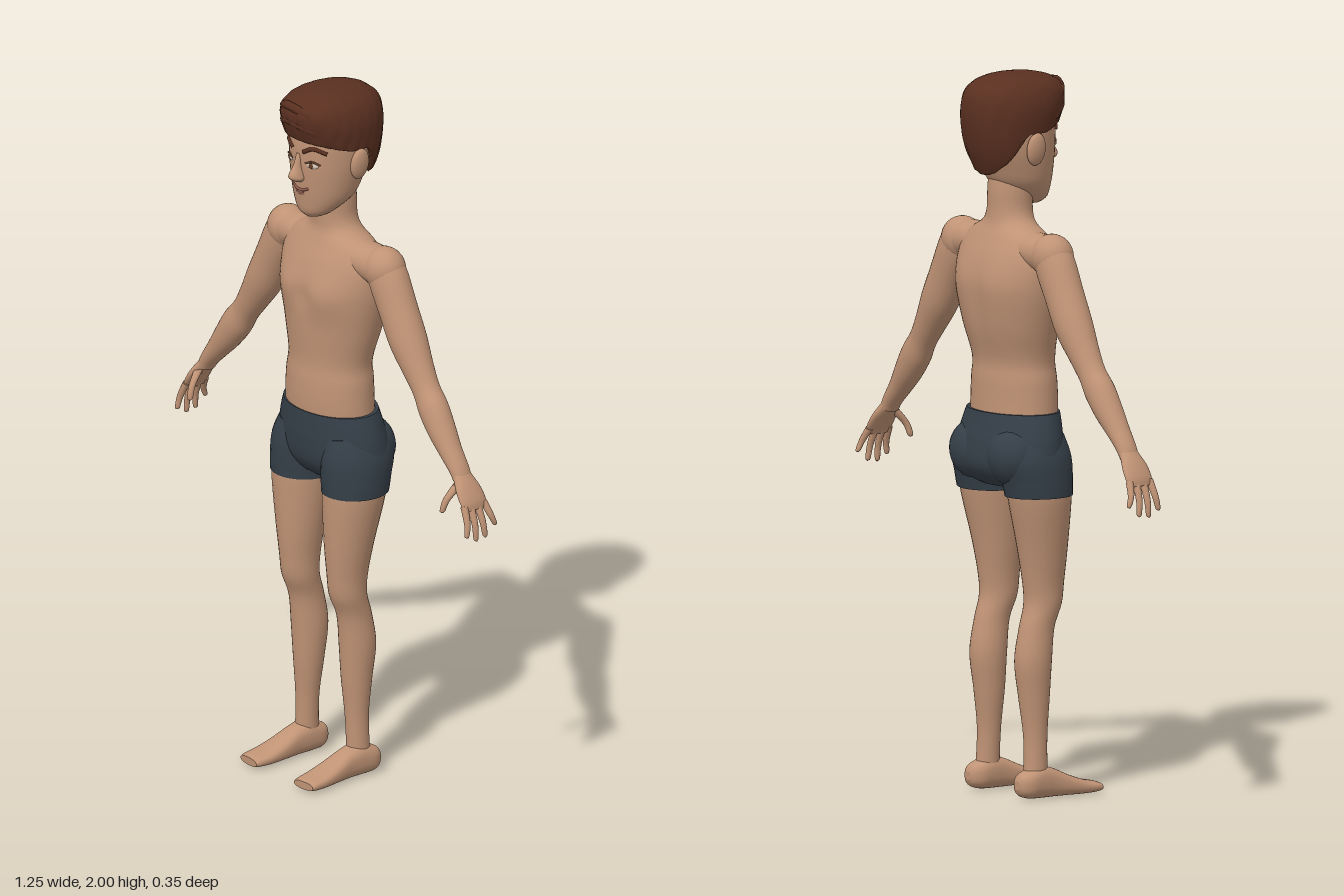
import * as THREE from 'three';

const mat = (name, color) => {
  const m = new THREE.MeshStandardMaterial({ color });
  m.name = name;
  return m;
};

// Smooth surface through elliptical sections [x, y, z, rx, rz], ordered along y
function loft(rows, { seg = 32, sub = 5, power = 1, tweak } = {}) {
  const at = (i, k) => rows[Math.max(0, Math.min(rows.length - 1, i))][k];
  const sample = (t) => {
    const i = Math.min(Math.floor(t), rows.length - 2), f = t - i;
    return [0, 1, 2, 3, 4].map((k) => {
      const a = at(i - 1, k), b = at(i, k), c = at(i + 1, k), d = at(i + 2, k);
      return b + 0.5 * f * (c - a + f * (2 * a - 5 * b + 4 * c - d + f * (3 * (b - c) + d - a)));
    });
  };
  const pos = [], idx = [], n = (rows.length - 1) * sub;
  const ring = (t) => {
    const [x, y, z, rx, rz] = sample(t);
    const a = sample(Math.max(0, t - 0.1)), b = sample(Math.min(rows.length - 1, t + 0.1));
    const d = new THREE.Vector2(b[0] - a[0], b[1] - a[1]).normalize();
    for (let j = 0; j < seg; j++) {
      const w = (j / seg) * Math.PI * 2, c = Math.cos(w), s = Math.sin(w);
      const p = Math.sign(c) * Math.abs(c) ** power * rx, q = Math.sign(s) * Math.abs(s) ** power * rz;
      const v = new THREE.Vector3(x + d.y * p, y - d.x * p, z + q);
      if (tweak) tweak(v);
      pos.push(v.x, v.y, v.z);
    }
  };
  for (let i = 0; i <= n; i++) ring(i / sub);
  for (let i = 0; i < n; i++) for (let j = 0; j < seg; j++) {
    const k = (j + 1) % seg, a = i * seg + j, b = i * seg + k;
    idx.push(a, a + seg, b, b, a + seg, b + seg);
  }
  // separate end caps keep the rims crisp
  for (const end of [0, rows.length - 1]) {
    const base = pos.length / 3;
    ring(end);
    const c = new THREE.Vector3(...rows[end].slice(0, 3));
    if (tweak) tweak(c);
    pos.push(c.x, c.y, c.z);
    for (let j = 0; j < seg; j++) {
      const a = base + j, b = base + (j + 1) % seg;
      idx.push(base + seg, ...(end ? [b, a] : [a, b]));
    }
  }
  const g = new THREE.BufferGeometry();
  g.setAttribute('position', new THREE.Float32BufferAttribute(pos, 3));
  g.setIndex(idx);
  g.computeVertexNormals();
  return g;
}

export function createModel() {
  const root = new THREE.Group();
  const skin = mat('skin', 0xc09375), cloth = mat('shorts cloth', 0x353f48), hair = mat('hair', 0x5a3020);
  const white = mat('eye white', 0xd8c8bc), iris = mat('iris', 0x5f3d26), lip = mat('lip', 0x8f5a4c);

  const add = (name, geo, m, parent = root) => {
    const mesh = new THREE.Mesh(geo, m);
    mesh.name = name;
    parent.add(mesh);
    return mesh;
  };
  const blob = (name, m, p, s) => {
    const b = add(name, new THREE.SphereGeometry(1, 24, 16), m);
    b.position.set(...p);
    b.scale.set(...s);
    return b;
  };
  const tube = (name, pts, r, m) => add(name, new THREE.TubeGeometry(
    new THREE.CatmullRomCurve3(pts.map((p) => new THREE.Vector3(...p))), 16, r, 8), m);
  const bump = (x, y, r) => Math.exp(-(x * x + y * y) / (r * r));

  // Torso and neck, with chest muscles and a groove down the spine
  add('torso', loft([
    [0, 1.0, -0.025, 0.15, 0.1], [0, 1.08, -0.02, 0.147, 0.102], [0, 1.15, -0.02, 0.143, 0.101],
    [0, 1.21, -0.022, 0.137, 0.098], [0, 1.3, -0.032, 0.158, 0.112], [0, 1.38, -0.037, 0.176, 0.117],
    [0, 1.44, -0.038, 0.184, 0.115], [0, 1.5, -0.038, 0.182, 0.1], [0, 1.55, -0.038, 0.155, 0.078],
    [0, 1.585, -0.037, 0.09, 0.064], [0, 1.62, -0.035, 0.067, 0.061], [0, 1.68, -0.033, 0.064, 0.062],
    [0, 1.74, -0.03, 0.06, 0.06],
  ], {
    seg: 48, tweak: (v) => {
      const x = Math.abs(v.x);
      if (v.z > 0) v.z += 0.014 * bump(x - 0.08, v.y - 1.41, 0.06) - 0.005 * bump(x, v.y - 1.4, 0.03);
      if (v.z < -0.08) v.z += 0.008 * bump(x, (v.y - 1.35) * 0.25, 0.03) - 0.006 * bump(x - 0.09, v.y - 1.42, 0.07);
    },
  }), skin);

  // Shorts: hips, seat and legs
  add('shortsHips', loft([
    [0, 0.86, -0.035, 0.11, 0.06], [0, 0.88, -0.038, 0.165, 0.088], [0, 0.92, -0.038, 0.192, 0.113],
    [0, 0.98, -0.033, 0.187, 0.116], [0, 1.03, -0.027, 0.173, 0.111], [0, 1.066, -0.023, 0.158, 0.107],
  ], { seg: 48 }), cloth);

  // Head and nose
  add('head', loft([
    [0, 1.632, 0.032, 0.025, 0.03], [0, 1.65, 0.03, 0.054, 0.048], [0, 1.69, 0.002, 0.085, 0.083],
    [0, 1.74, -0.01, 0.1, 0.1], [0, 1.8, -0.02, 0.11, 0.114], [0, 1.87, -0.025, 0.112, 0.118],
    [0, 1.93, -0.03, 0.095, 0.105], [0, 1.965, -0.03, 0.05, 0.06],
  ], { seg: 40 }), skin);
  add('nose', loft([
    [0, 1.742, 0.088, 0.01, 0.012], [0, 1.752, 0.094, 0.02, 0.026], [0, 1.765, 0.096, 0.018, 0.029],
    [0, 1.79, 0.092, 0.011, 0.018], [0, 1.825, 0.085, 0.009, 0.012],
  ], { seg: 20 }), skin);
  tube('mouth', [[-0.032, 1.727, 0.082], [-0.015, 1.719, 0.088], [0, 1.718, 0.09], [0.015, 1.719, 0.088], [0.032, 1.727, 0.082]], 0.004, lip);
  tube('lowerLip', [[-0.016, 1.708, 0.083], [0, 1.705, 0.086], [0.016, 1.708, 0.083]], 0.004, lip);

  // Hair cap: the lower edge follows a hairline that drops towards the nape
  const hairline = (z) => z > -0.06 ? 1.84 + Math.max(0, z) * 0.28 : Math.max(1.705, 1.84 + (z + 0.06) * 1.85);
  add('hair', loft([
    [0, 1.7, -0.07, 0.055, 0.045], [0, 1.75, -0.055, 0.092, 0.086], [0, 1.8, -0.042, 0.113, 0.118],
    [0, 1.86, -0.035, 0.122, 0.137], [0, 1.91, -0.027, 0.123, 0.147], [0, 1.95, -0.02, 0.111, 0.145],
    [0, 1.977, -0.018, 0.088, 0.118], [0, 1.993, -0.02, 0.05, 0.07], [0, 1.998, -0.02, 0.01, 0.015],
  ], {
    seg: 64, sub: 8, power: 0.94, tweak: (v) => {
      const wave = 1 + 0.012 * Math.sin(v.z * 170 + v.x * 35 + v.y * 40);
      v.x *= wave;
      v.z = (v.z + 0.03) * (1 + 0.012 * Math.sin(v.x * 150 + v.y * 30)) - 0.03;
      v.y = Math.max(v.y, hairline(v.z));
    },
  }), hair);
  // Swept fringe locks
  for (let i = 0; i < 3; i++) {
    const h = i * 0.021;
    tube('fringeLock', [[-0.1, 1.875 + h, 0.035], [-0.065, 1.905 + h, 0.088], [-0.01, 1.922 + h, 0.112],
      [0.045, 1.91 + h, 0.1], [0.088, 1.88 + h, 0.05]], 0.013, hair);
  }

  for (const s of [1, -1]) {
    const side = s > 0 ? 'left' : 'right';
    const limb = (name, rows, m, opt) => add(side + name, loft(rows.map(([x, ...r]) => [x * s, ...r]), opt), m);

    // Face details
    blob(side + 'Ear', skin, [s * 0.114, 1.797, -0.03], [0.016, 0.046, 0.03]).rotation.z = -s * 0.12;
    blob(side + 'EyeWhite', white, [s * 0.046, 1.798, 0.081], [0.019, 0.009, 0.006]).rotation.y = s * 0.4;
    blob(side + 'Iris', iris, [s * 0.045, 1.798, 0.085], [0.008, 0.008, 0.004]).rotation.y = s * 0.4;
    tube(side + 'Eyelid', [[s * 0.025, 1.801, 0.089], [s * 0.046, 1.809, 0.084], [s * 0.068, 1.801, 0.071]], 0.003, iris);
    tube(side + 'Eyebrow', [[s * 0.02, 1.834, 0.093], [s * 0.05, 1.848, 0.083], [s * 0.082, 1.836, 0.058]], 0.006, hair);

    // Arm
    blob(side + 'Shoulder', skin, [s * 0.203, 1.513, -0.043], [0.064, 0.062, 0.058]);
    limb('Collar', [[0.19, 1.515, -0.042, 0.055, 0.055], [0.12, 1.52, -0.04, 0.05, 0.06], [0.05, 1.53, -0.038, 0.045, 0.06]], skin);
    limb('Arm', [
      [0.545, 1.0, -0.036, 0.02, 0.029], [0.53, 1.025, -0.036, 0.024, 0.03], [0.495, 1.066, -0.036, 0.031, 0.033],
      [0.455, 1.115, -0.038, 0.04, 0.039], [0.418, 1.165, -0.04, 0.045, 0.041], [0.385, 1.21, -0.042, 0.04, 0.038],
      [0.35, 1.26, -0.043, 0.045, 0.043], [0.305, 1.33, -0.044, 0.055, 0.052], [0.262, 1.41, -0.044, 0.057, 0.053],
      [0.225, 1.48, -0.044, 0.06, 0.054], [0.205, 1.52, -0.044, 0.055, 0.052],
    ], skin);

    // Hand
    limb('Palm', [
      [0.598, 0.925, -0.037, 0.009, 0.036], [0.59, 0.945, -0.037, 0.013, 0.043], [0.57, 0.975, -0.036, 0.016, 0.041],
      [0.548, 1.002, -0.036, 0.018, 0.031], [0.53, 1.022, -0.036, 0.019, 0.027],
    ], skin);
    [[-0.07, -0.09, 0.872], [-0.048, -0.056, 0.846], [-0.025, -0.024, 0.842], [-0.003, 0.008, 0.858]].forEach(([z0, z1, y], i) => {
      const zm = (z0 + z1) / 2;
      limb('Finger' + (i + 1), [
        [0.617, y, z1, 0.002, 0.002], [0.617, y + 0.006, z1, 0.007, 0.007], [0.612, (y + 0.935) / 2, zm, 0.009, 0.009],
        [0.592, 0.94, z0, 0.01, 0.011],
      ], skin, { seg: 12 });
    });
    limb('Thumb', [
      [0.537, 0.914, 0.03, 0.002, 0.002], [0.538, 0.921, 0.029, 0.008, 0.008], [0.543, 0.952, 0.018, 0.01, 0.01],
      [0.553, 0.99, -0.015, 0.013, 0.015],
    ], skin, { seg: 12 });

    // Shorts leg and seat
    limb('ShortsLeg', [
      [0.109, 0.838, -0.018, 0.092, 0.094], [0.108, 0.88, -0.022, 0.093, 0.1], [0.104, 0.94, -0.03, 0.09, 0.108],
      [0.095, 1.0, -0.03, 0.07, 0.095],
    ], cloth);
    blob(side + 'ShortsSeat', cloth, [s * 0.084, 0.95, -0.08], [0.085, 0.085, 0.077]);

    // Leg
    limb('Leg', [
      [0.11, 0.04, -0.03, 0.031, 0.036], [0.108, 0.1, -0.028, 0.031, 0.033], [0.105, 0.18, -0.027, 0.033, 0.034],
      [0.102, 0.28, -0.029, 0.042, 0.044], [0.102, 0.38, -0.032, 0.049, 0.053], [0.102, 0.47, -0.02, 0.045, 0.051],
      [0.101, 0.535, 0.001, 0.05, 0.054], [0.101, 0.6, 0.003, 0.054, 0.06], [0.103, 0.7, -0.002, 0.069, 0.072],
      [0.108, 0.84, -0.015, 0.088, 0.089], [0.106, 0.9, -0.018, 0.085, 0.085],
    ], skin);

    // Foot, lofted from heel to toe and laid forward
    const foot = limb('Foot', [
      [0.112, -0.094, -0.04, 0.012, 0.012], [0.112, -0.085, -0.04, 0.026, 0.028], [0.112, -0.062, -0.041, 0.037, 0.038],
      [0.111, -0.025, -0.046, 0.038, 0.045], [0.111, 0.02, -0.041, 0.037, 0.04], [0.112, 0.07, -0.03, 0.041, 0.029],
      [0.114, 0.12, -0.021, 0.043, 0.02], [0.116, 0.158, -0.018, 0.041, 0.015], [0.117, 0.173, -0.017, 0.037, 0.011],
    ], skin, { power: 0.8 });
    foot.geometry.rotateX(Math.PI / 2);
  }
  return root;
}
